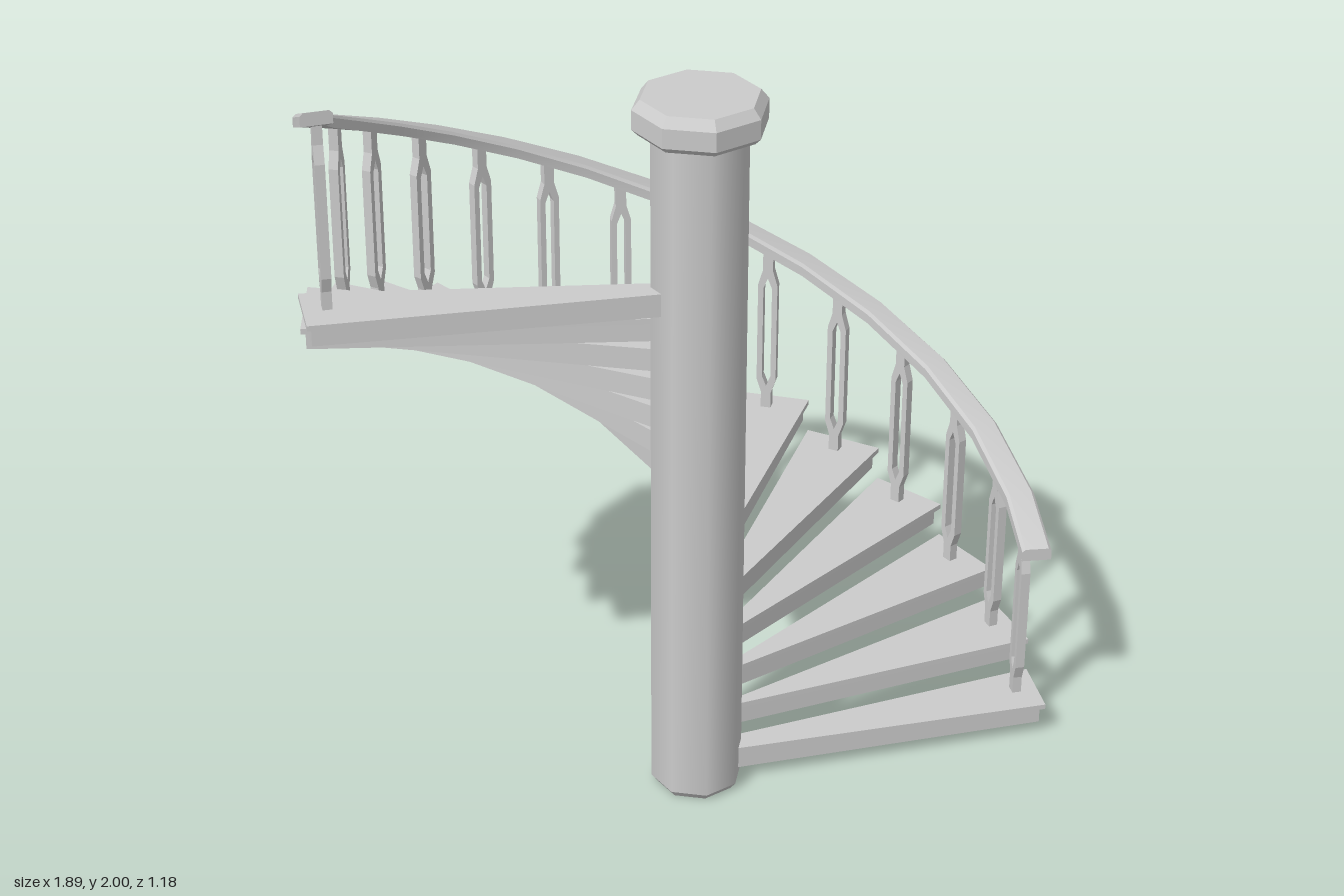
import * as THREE from 'three';
import { toCreasedNormals } from 'three/addons/utils/BufferGeometryUtils.js';

const STEPS = 15, RISE = 0.097, FIRST_TOP = 0.1;
const COLUMN_Z = 0.43;   // axis of the central column
const ARC_Z = 0.36;      // centre of the outer arc of treads and rail
const rad = THREE.MathUtils.degToRad;

// angle (degrees) of the boundary before step k: outer ends and column ends
const outerAngle = k => THREE.MathUtils.clamp(90 + (k - 7.5) * 13.15, -5.7, 185.7);
const innerAngle = k => k === 0 ? -25 : k === STEPS ? 205 : 90 + (k - 7.5) * 12.4;

// plan position on an arc, returned as shape coordinates (x, -z)
const onArc = (r, deg, cz) =>
  new THREE.Vector2(r * Math.cos(rad(deg)), r * Math.sin(rad(deg)) - cz);

// wedge-shaped slab for step k, inset a little from the full wedge
function wedge(k, y, height, inset) {
  const da = inset / 0.95 * 180 / Math.PI;
  const shape = new THREE.Shape([
    onArc(0.1, innerAngle(k) + da, COLUMN_Z),
    onArc(0.95 - inset, outerAngle(k) + da, ARC_Z),
    onArc(0.95 - inset, outerAngle(k + 1) - da, ARC_Z),
    onArc(0.1, innerAngle(k + 1) - da, COLUMN_Z),
  ]);
  const geo = new THREE.ExtrudeGeometry(shape, { depth: height, bevelEnabled: false });
  geo.rotateX(-Math.PI / 2);
  geo.translate(0, y, 0);
  return geo;
}

// flat baluster with a long slot
function balusterGeometry() {
  const half = [[0.014, 0], [0.014, 0.05], [0.027, 0.09], [0.027, 0.385], [0.014, 0.43], [0.014, 0.495]];
  const hole = [[0, 0.07], [0.012, 0.1], [0.012, 0.375], [0, 0.405]];
  const mirror = pts => [
    ...pts.map(([x, y]) => new THREE.Vector2(x, y)),
    ...pts.slice().reverse().filter(p => p[0] > 0).map(([x, y]) => new THREE.Vector2(-x, y)),
  ];
  const shape = new THREE.Shape(mirror(half));
  shape.holes.push(new THREE.Path(mirror(hole)));
  const geo = new THREE.ExtrudeGeometry(shape, { depth: 0.024, bevelEnabled: false });
  geo.translate(0, 0, -0.012);
  return geo;
}

// helical rail: one chamfered section at every step boundary
function railGeometry() {
  const section = [[0.86, -0.017], [0.937, -0.017], [0.937, 0.009], [0.929, 0.017], [0.868, 0.017], [0.86, 0.009]];
  const n = section.length, pos = [], index = [];
  for (let i = 0; i <= STEPS; i++) {
    const a = outerAngle(i);
    const y = 0.575 + 1.408 * (a + 5.7) / 191.4;
    for (const [r, dy] of section) {
      const p = onArc(r, a, ARC_Z);
      pos.push(p.x, y + dy, -p.y);
    }
  }
  for (let i = 0; i < STEPS; i++) {
    for (let j = 0; j < n; j++) {
      const a = i * n + j, d = i * n + (j + 1) % n, b = a + n, c = d + n;
      index.push(a, b, c, a, c, d);
    }
  }
  const last = STEPS * n;
  for (let j = 1; j < n - 1; j++) {
    index.push(0, j, j + 1, last, last + j + 1, last + j);
  }
  const geo = new THREE.BufferGeometry();
  geo.setAttribute('position', new THREE.Float32BufferAttribute(pos, 3));
  geo.setIndex(index);
  return toCreasedNormals(geo, 0.45);
}

export function createModel() {
  const model = new THREE.Group();
  model.name = 'spiralStaircase';
  const grey = new THREE.MeshStandardMaterial({ color: 0xcccccc });
  const add = (name, geo, parent = model) => {
    const mesh = new THREE.Mesh(geo, grey);
    mesh.name = name;
    parent.add(mesh);
    return mesh;
  };

  // central column with chamfered foot and faceted cap
  const column = new THREE.Group();
  column.name = 'column';
  column.position.z = COLUMN_Z;
  model.add(column);
  add('columnShaft', new THREE.CylinderGeometry(0.12, 0.12, 1.86, 8).translate(0, 0.95, 0), column);
  add('columnFoot', new THREE.CylinderGeometry(0.12, 0.105, 0.02, 8).translate(0, 0.01, 0), column);
  const capProfile = [[0, 1.86], [0.15, 1.86], [0.165, 1.875], [0.165, 1.925], [0.145, 1.95], [0, 1.95]]
    .map(([r, y]) => new THREE.Vector2(r, y));
  add('columnCap', toCreasedNormals(new THREE.LatheGeometry(capProfile, 8), 0.3), column);

  // steps, each with a tread, a supporting body and one baluster
  const baluster = balusterGeometry();
  for (let k = 0; k < STEPS; k++) {
    const step = new THREE.Group();
    step.name = 'step' + (k + 1);
    model.add(step);
    const top = FIRST_TOP + k * RISE;
    add('tread', wedge(k, top - 0.014, 0.014, 0), step);
    add('stepBody', wedge(k, top - 0.062, 0.05, 0.012), step);

    const angle = (outerAngle(k) + outerAngle(k + 1)) / 2;
    const p = onArc(0.888, angle, ARC_Z);
    const post = add('baluster', baluster, step);
    post.position.set(p.x, top - 0.002, -p.y);
    post.rotation.y = rad(angle + 90);
  }

  add('handrail', railGeometry());
  return model;
}
